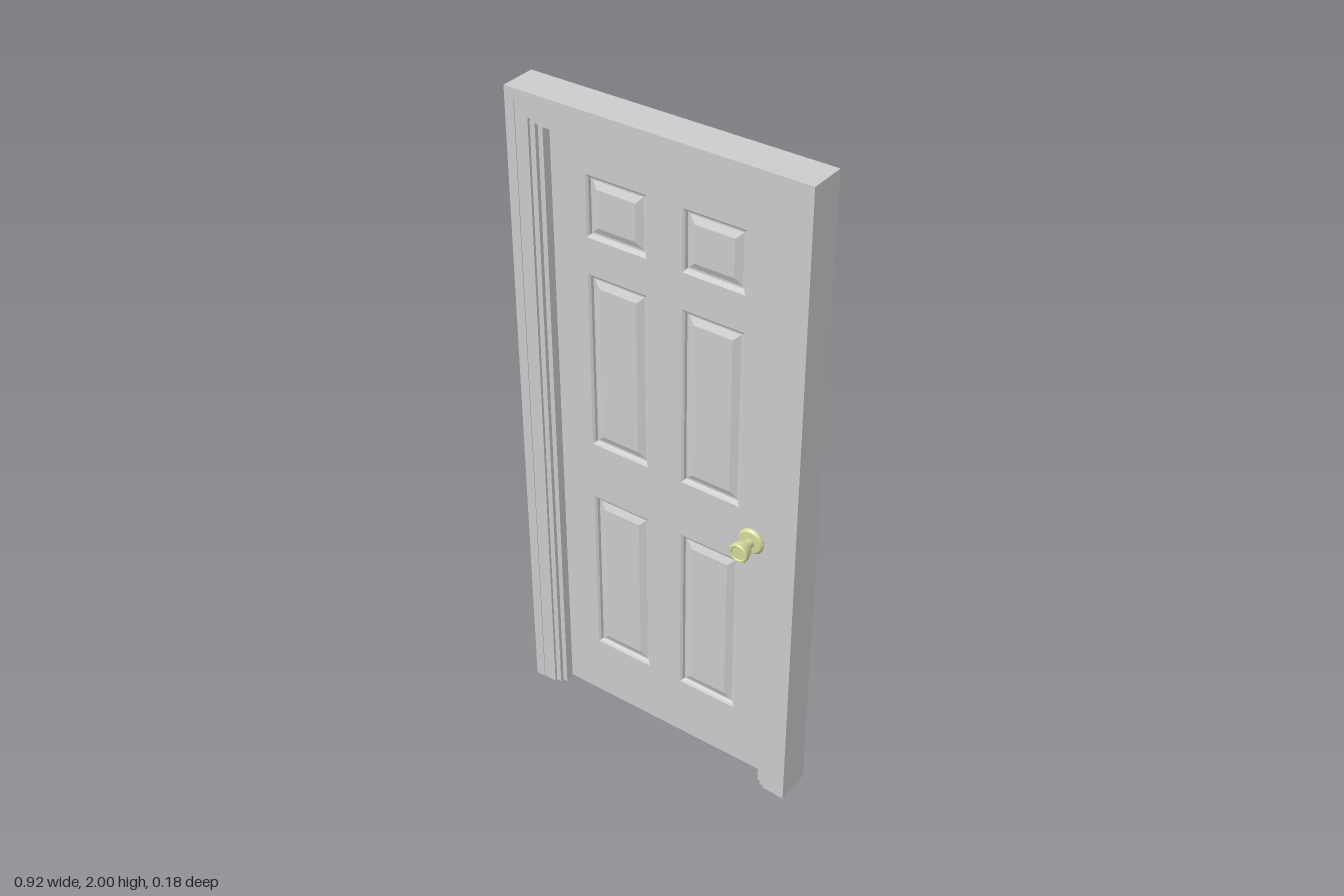
import * as THREE from 'three';

export function createModel() {
  const model = new THREE.Group();
  model.name = 'panelDoor';
  const paint = new THREE.MeshStandardMaterial({ color: 0xcccccc });
  paint.name = 'greyPaint';
  const brass = new THREE.MeshStandardMaterial({ color: 0xd4d89a });
  brass.name = 'paleBrass';

  const add = (name, geometry, material, parent = model) => {
    const mesh = new THREE.Mesh(geometry, material);
    mesh.name = name;
    parent.add(mesh);
    return mesh;
  };
  const rectPath = (p, x0, y0, x1, y1) => {
    p.moveTo(x0, y0);
    p.lineTo(x1, y0);
    p.lineTo(x1, y1);
    p.lineTo(x0, y1);
    p.closePath();
    return p;
  };

  // Surround: nested upside-down U shapes [outer x, outer top, inner x, inner top, back z, front z]
  const surround = [
    ['casingOuter', 0.458, 2.0, 0.428, 1.97, -0.04, 0.07],
    ['casingInner', 0.428, 1.97, 0.387, 1.93, -0.038, 0.068],
    ['jamb', 0.387, 1.93, 0.371, 1.916, -0.032, 0.06],
    ['doorStop', 0.371, 1.916, 0.356, 1.904, 0.021, 0.048],
  ];
  for (const [name, ox, oy, ix, iy, z0, z1] of surround) {
    const shape = new THREE.Shape([
      [-ox, 0], [-ix, 0], [-ix, iy], [ix, iy], [ix, 0], [ox, 0], [ox, oy], [-ox, oy],
    ].map(([x, y]) => new THREE.Vector2(x, y)));
    const g = new THREE.ExtrudeGeometry(shape, { depth: z1 - z0, bevelEnabled: false });
    add(name, g.translate(0, 0, z0), paint);
  }

  // Door slab, with an opening for each of the six panels
  const half = 0.02;
  const rows = [[0.208, 0.765], [0.95, 1.502], [1.612, 1.795]];
  const panels = rows.flatMap(([y0, y1]) => [[-0.247, y0, -0.055, y1], [0.055, y0, 0.247, y1]]);
  const slab = rectPath(new THREE.Shape(), -0.367, 0.008, 0.367, 1.912);
  for (const p of panels) slab.holes.push(rectPath(new THREE.Path(), ...p));
  const slabGeometry = new THREE.ExtrudeGeometry(slab, { depth: half * 2, bevelEnabled: false });
  add('doorSlab', slabGeometry.translate(0, 0, -half), paint);

  // Raised panel: rectangular rings of [inset, depth], closed by a flat field
  const profile = [[0, 0], [0.007, -0.004], [0.010, -0.011], [0.016, -0.011], [0.036, -0.002]];
  function panelGeometry(x0, y0, x1, y1) {
    const positions = [];
    const index = [];
    for (const [i, d] of profile) {
      positions.push(x0 + i, y0 + i, d, x1 - i, y0 + i, d, x1 - i, y1 - i, d, x0 + i, y1 - i, d);
    }
    for (let r = 0; r < profile.length - 1; r++) {
      for (let k = 0; k < 4; k++) {
        const a = r * 4 + k, b = r * 4 + (k + 1) % 4;
        index.push(a, b, b + 4, a, b + 4, a + 4);
      }
    }
    const f = (profile.length - 1) * 4;
    index.push(f, f + 1, f + 2, f, f + 2, f + 3);
    const g = new THREE.BufferGeometry();
    g.setAttribute('position', new THREE.Float32BufferAttribute(positions, 3));
    g.setIndex(index);
    const flat = g.toNonIndexed();
    flat.computeVertexNormals();
    return flat;
  }

  // Knob and rose, turned about the spindle; height is distance from the door's middle
  const knobProfile = [
    [0.040, 0.019], [0.040, 0.024], [0.034, 0.030], [0.014, 0.031], [0.014, 0.057],
    [0.024, 0.057], [0.027, 0.068], [0.027, 0.072], [0.030, 0.076], [0.030, 0.087],
    [0.027, 0.090], [0.022, 0.090], [0.020, 0.087], [0, 0.087],
  ].map(([r, h]) => new THREE.Vector2(r, h));
  // Each section is turned separately to keep its rim crisp
  const knobX = 0.29, knobY = 0.855;

  for (const side of [1, -1]) {
    const face = new THREE.Group();
    face.name = side > 0 ? 'frontFace' : 'backFace';
    face.rotation.y = side > 0 ? 0 : Math.PI;
    model.add(face);
    for (const p of panels) {
      add('raisedPanel', panelGeometry(...p).translate(0, 0, half), paint, face);
    }
    const knob = new THREE.Group();
    knob.name = 'doorKnob';
    knob.position.set(knobX * side, knobY, 0);
    knob.rotation.x = Math.PI / 2;
    face.add(knob);
    for (let i = 0; i < knobProfile.length - 1; i++) {
      add('knobSection', new THREE.LatheGeometry([knobProfile[i], knobProfile[i + 1]], 32), brass, knob);
    }
  }

  // Latch plate on the door edge
  add('latchPlate', new THREE.BoxGeometry(0.003, 0.06, 0.026), brass).position.set(0.3675, knobY, 0);

  // Hinges: barrel on the back with a leaf running into the door gap
  for (const y of [0.19, 1.0, 1.757]) {
    const hinge = new THREE.Group();
    hinge.name = 'hinge';
    hinge.position.set(-0.356, y, -0.045);
    model.add(hinge);
    add('hingeBarrel', new THREE.CylinderGeometry(0.007, 0.007, 0.118, 16), brass, hinge);
    add('hingeLeaf', new THREE.BoxGeometry(0.006, 0.118, 0.03), brass, hinge).position.z = 0.015;
  }
  return model;
}
